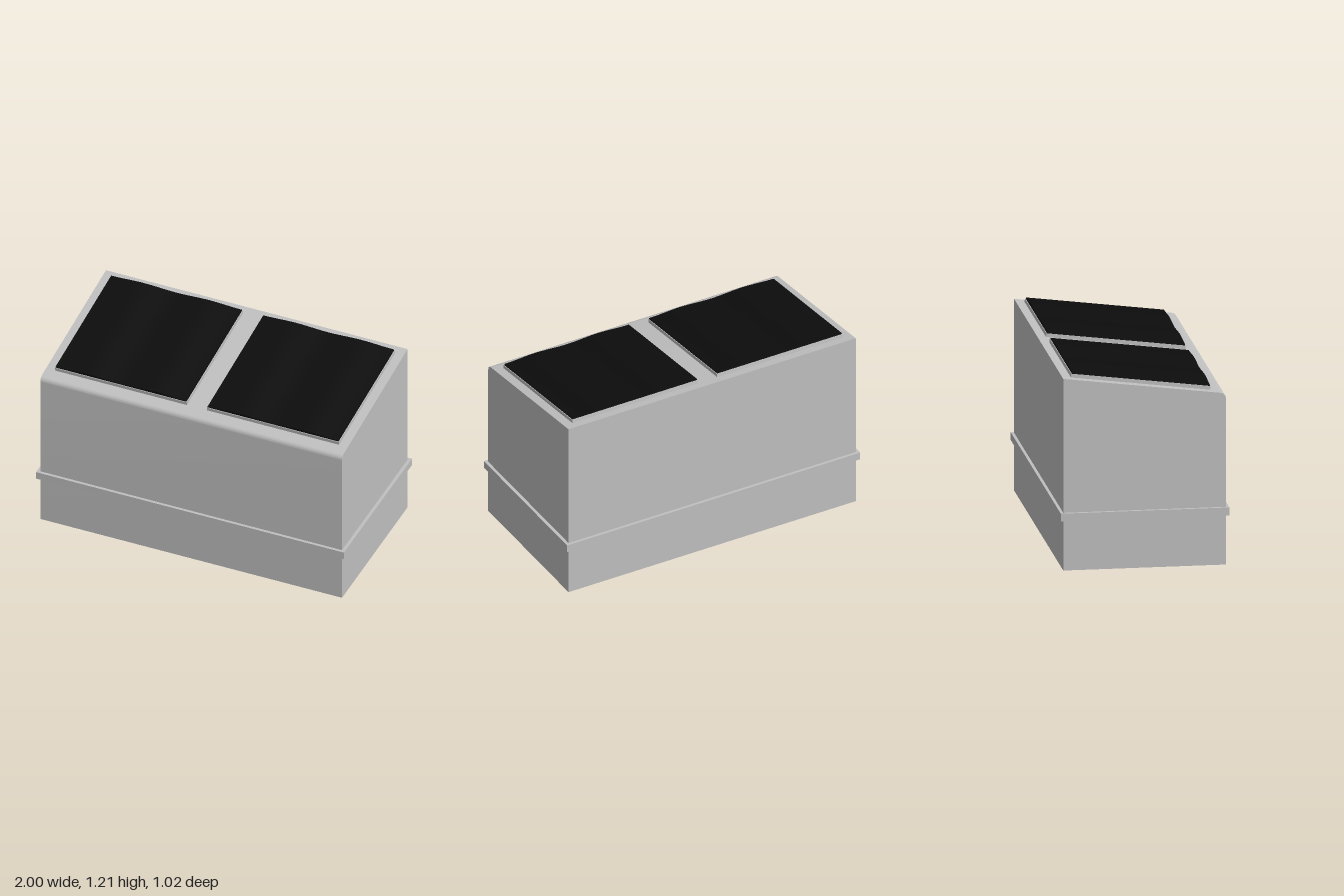
import * as THREE from 'three';
import { toCreasedNormals } from 'three/addons/utils/BufferGeometryUtils.js';

const SLOPE = 0.128;
const topY = (z) => 1.115 - SLOPE * z;

export function createModel() {
  const grey = new THREE.MeshStandardMaterial({ name: 'light grey', color: 0xc0c0c0 });
  const black = new THREE.MeshStandardMaterial({ name: 'black', color: 0x0c0c0c });
  const model = new THREE.Group();
  model.name = 'twinLidBin';

  const add = (parent, name, geometry, material, x = 0, y = 0, z = 0) => {
    const mesh = new THREE.Mesh(geometry, material);
    mesh.name = name;
    mesh.position.set(x, y, z);
    parent.add(mesh);
    return mesh;
  };

  // Body: side profile with sloping top and rounded front edge, extruded across x
  const profile = new THREE.Shape();
  profile.moveTo(-0.49, 0);
  profile.lineTo(0.49, 0);
  profile.lineTo(0.49, 1.02);
  profile.bezierCurveTo(0.49, 1.042, 0.477, 1.054, 0.45, topY(0.45));
  profile.lineTo(-0.49, topY(-0.49));
  profile.closePath();
  const body = new THREE.ExtrudeGeometry(profile, { depth: 1.96, bevelEnabled: false, curveSegments: 10 });
  body.rotateY(-Math.PI / 2);
  body.translate(0.98, 0, 0);
  add(model, 'body', toCreasedNormals(body, 0.5), grey);

  // Protruding band around the body
  add(model, 'band', new THREE.BoxGeometry(2, 0.048, 1.016), grey, 0, 0.331, 0);

  // Lid panel: gently double-humped section extruded down the slope
  const width = 0.85, length = 0.838;
  const hump = new THREE.Shape();
  hump.moveTo(-width / 2, 0);
  hump.lineTo(width / 2, 0);
  for (let i = 0; i <= 32; i++) {
    const t = i / 32;
    hump.lineTo(width / 2 - t * width, 0.007 + 0.009 * Math.sin(2 * Math.PI * t) ** 2);
  }
  hump.closePath();
  const panel = new THREE.ExtrudeGeometry(hump, { depth: length, bevelEnabled: false });
  panel.translate(0, 0, -length / 2);
  const panelGeometry = toCreasedNormals(panel, 0.5);

  for (const [side, name] of [[1, 'leftLid'], [-1, 'rightLid']]) {
    const lid = new THREE.Group();
    lid.name = name;
    lid.position.set(side * 0.494, topY(-0.016), -0.016);
    lid.rotation.x = Math.atan(SLOPE);
    add(lid, 'lidFrame', new THREE.BoxGeometry(0.858, 0.03, 0.846), grey, 0, 0.007, 0);
    add(lid, 'lidPanel', panelGeometry, black, 0, 0.022, 0);
    model.add(lid);
  }
  return model;
}
